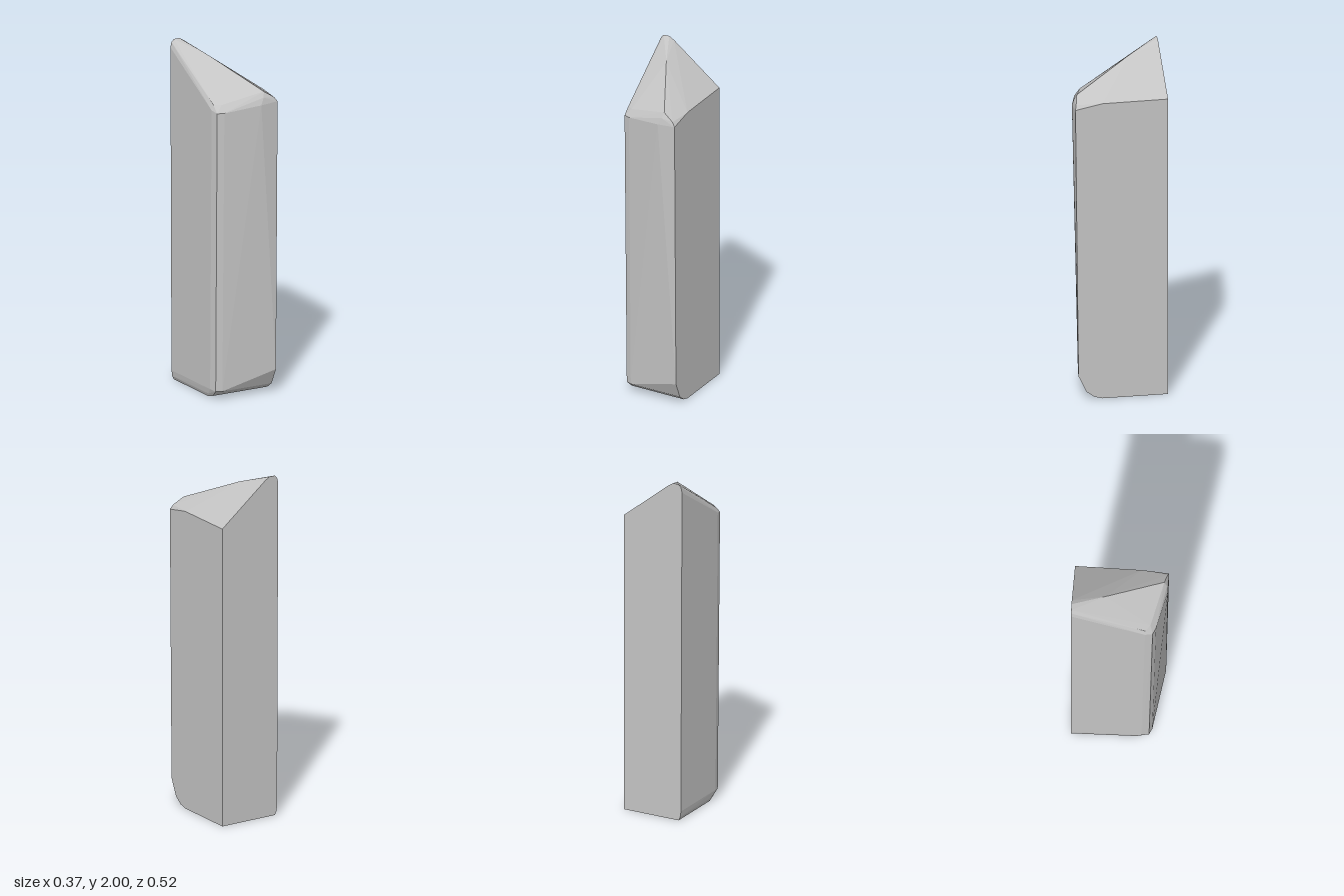
import * as THREE from 'three';
import { ConvexGeometry } from 'three/addons/geometries/ConvexGeometry.js';

const BACK = -0.263, SIDE = 0.187;

export function createModel() {
  const group = new THREE.Group();
  const stone = new THREE.MeshStandardMaterial({ color: 0xc4c4c4 });
  stone.name = 'grey stone';
  stone.flatShading = true;

  // rounded foot: flat base, then chamfers on the front and the narrow side
  const foot = [
    [SIDE, 0, BACK], [SIDE, 0, 0.11], [SIDE, 0.012, 0.155], [SIDE, 0.045, 0.2], [SIDE, 0.14, 0.245],
    [-0.165, 0, BACK], [-0.16, 0, 0.09], [-0.155, 0.012, 0.13],
    [-0.175, 0.02, BACK], [-0.168, 0.02, 0.1],
    [-0.18, 0.055, BACK], [-0.174, 0.055, 0.13], [-0.164, 0.05, 0.172], [-0.13, 0.05, 0.188],
  ];

  // shoulder: top of the upright faces, with a clipped front corner
  const shoulder = [
    [SIDE, 1.752, BACK], [SIDE, 1.75, 0.11], [SIDE, 1.72, 0.262], [0.08, 1.715, 0.262],
    [-0.13, 1.69, 0.209], [-0.167, 1.69, 0.192], [-0.177, 1.7, 0.15],
    [0.1, 1.755, 0.255], [-0.13, 1.73, 0.178], [-0.165, 1.73, 0.15],
  ];

  // sloping crest: from the tall back corner down to the front
  const crest = [
    [-0.187, 1.955, BACK], [-0.18, 1.985, BACK], [-0.165, 2, BACK], [-0.13, 2, BACK],
    [-0.1, 1.982, BACK], [-0.105, 1.982, -0.235], [-0.05, 1.935, -0.08],
    [0, 1.888, 0.02], [0.11, 1.785, 0.24], [0.17, 1.745, 0.255],
  ];

  const points = [...foot, ...shoulder, ...crest].map((p) => new THREE.Vector3(...p));
  const shard = new THREE.Mesh(new ConvexGeometry(points), stone);
  shard.name = 'stoneShard';
  group.add(shard);
  return group;
}
